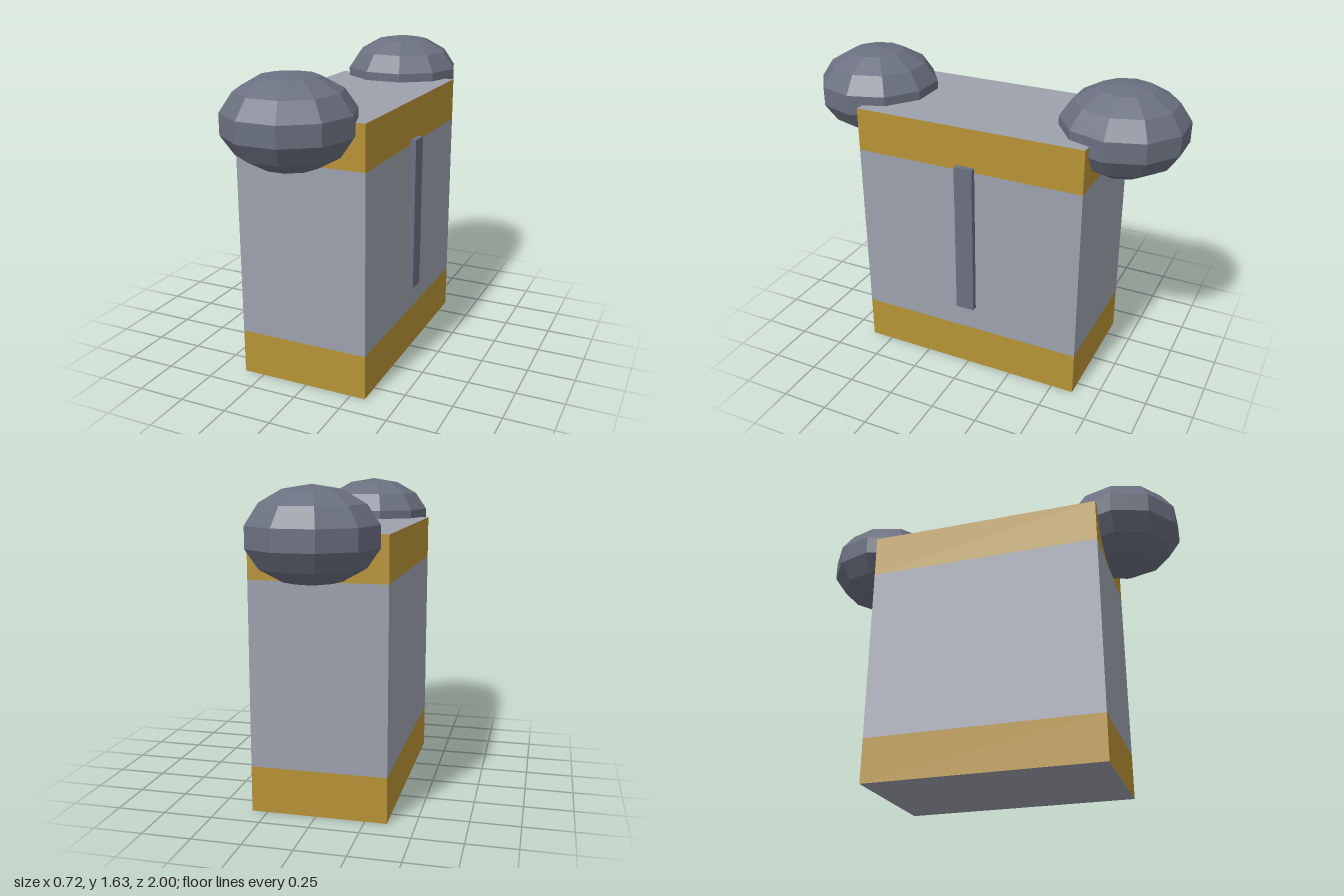
import * as THREE from 'three';

const CX = -0.015; // body centre in x; the side strip makes up the offset

export function createModel() {
  const grey = new THREE.MeshStandardMaterial({ color: 0x9da1ad });
  grey.name = 'light grey';
  const gold = new THREE.MeshStandardMaterial({ color: 0xb79336 });
  gold.name = 'gold';
  const slate = new THREE.MeshStandardMaterial({ color: 0x6b7080, flatShading: true });
  slate.name = 'slate';

  const model = new THREE.Group();
  const add = (name, geometry, material, x, y, z) => {
    const mesh = new THREE.Mesh(geometry, material);
    mesh.name = name;
    mesh.position.set(x, y, z);
    model.add(mesh);
    return mesh;
  };

  // Body: one box whose sides are cut into three rows, gold at top and bottom
  const rows = [1.405, 1.175, 0.235, 0];
  const body = new THREE.BoxGeometry(0.69, 1.405, 1.24, 1, 3, 1);
  const pos = body.attributes.position;
  for (let i = 0; i < pos.count; i++) {
    const row = Math.round((0.5 - pos.getY(i) / 1.405) * 3);
    pos.setY(i, rows[row]);
  }
  body.clearGroups();
  let quad = 0;
  for (const rowCount of [3, 3, 1, 1, 3, 3]) {
    for (let r = 0; r < rowCount; r++) {
      const isGold = rowCount === 3 && r !== 1;
      body.addGroup(quad++ * 6, 6, isGold ? 1 : 0);
    }
  }
  add('body', body, [grey, gold], CX, 0, 0);

  // Upright strip on the left side
  add('sideStrip', new THREE.BoxGeometry(0.03, 0.825, 0.1), slate, 0.345, 0.7875, 0);

  // Flattened faceted knobs on the front and back top edges
  for (const side of [1, -1]) {
    const knob = add(side > 0 ? 'frontKnob' : 'backKnob',
      new THREE.SphereGeometry(0.328, 10, 7), slate, CX, 1.4, side * 0.695);
    knob.scale.y = 0.705;
  }
  return model;
}
